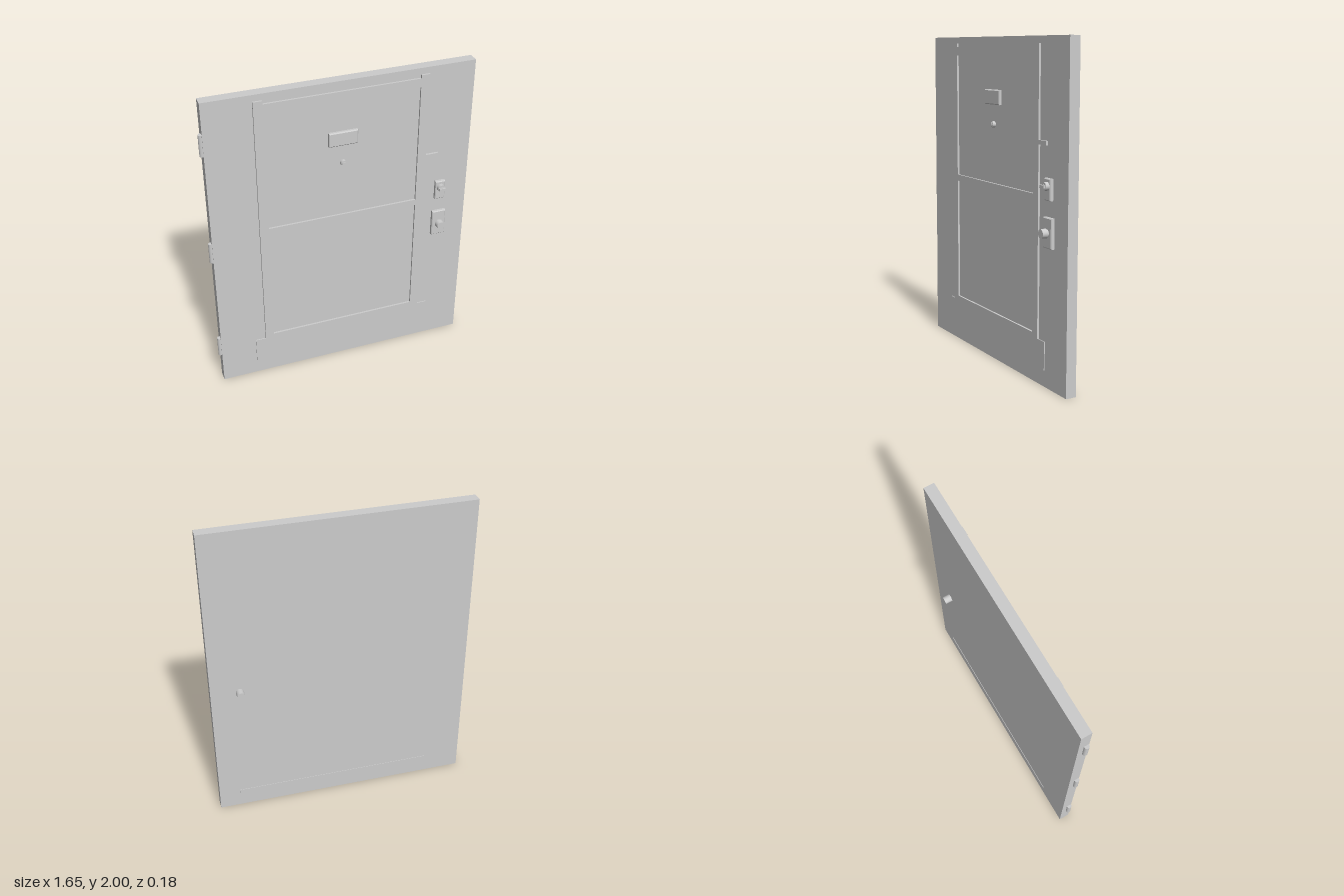
import * as THREE from 'three';

export function createModel() {
  const door = new THREE.Group();
  door.name = 'door';
  const grey = new THREE.MeshStandardMaterial({ color: 0xcccccc });
  grey.name = 'painted grey';

  const add = (name, geometry, x = 0, y = 0, z = 0) => {
    const mesh = new THREE.Mesh(geometry, grey);
    mesh.name = name;
    mesh.position.set(x, y, z);
    door.add(mesh);
    return mesh;
  };
  // Box given by its limits on each axis
  const block = (name, x0, x1, y0, y1, z0, z1) =>
    add(name, new THREE.BoxGeometry(x1 - x0, y1 - y0, z1 - z0), (x0 + x1) / 2, (y0 + y1) / 2, (z0 + z1) / 2);
  // Cylinder along z between two depths
  const rod = (name, x, y, z0, z1, rBack, rFront = rBack) =>
    add(name, new THREE.CylinderGeometry(rFront, rBack, z1 - z0, 24).rotateX(Math.PI / 2), x, y, (z0 + z1) / 2);
  // Plate with a chamfered front edge
  const plate = (name, x0, x1, y0, y1, z0, z1, chamfer) => {
    const c = chamfer;
    const shape = new THREE.Shape([
      new THREE.Vector2(x0 + c, y0 + c), new THREE.Vector2(x1 - c, y0 + c),
      new THREE.Vector2(x1 - c, y1 - c), new THREE.Vector2(x0 + c, y1 - c),
    ]);
    return add(name, new THREE.ExtrudeGeometry(shape, {
      depth: z1 - z0 - c, bevelEnabled: true, bevelSegments: 1, bevelSize: c, bevelThickness: c,
    }), 0, 0, z0);
  };

  // Door leaf
  block('slab', -0.81, 0.825, 0, 2, -0.041, 0.025);

  // Raised moulding around two sunken panels, with ears at the top corners
  const outline = [
    [-0.52, 0.27], [0.535, 0.27], [0.535, 1.96], [0.48, 1.96], [0.48, 1.94],
    [-0.465, 1.94], [-0.465, 1.96], [-0.52, 1.96],
  ];
  const frame = new THREE.Shape(outline.map(([x, y]) => new THREE.Vector2(x, y)));
  for (const [y0, y1] of [[0.3, 1.075], [1.115, 1.885]]) {
    frame.holes.push(new THREE.Path([
      new THREE.Vector2(-0.465, y0), new THREE.Vector2(-0.465, y1),
      new THREE.Vector2(0.48, y1), new THREE.Vector2(0.48, y0),
    ]));
  }
  add('panelMoulding', new THREE.ExtrudeGeometry(frame, { depth: 0.015, bevelEnabled: false }), 0, 0, 0.022);

  // Kick plate and bottom strips
  block('kickPlate', -0.585, 0.6, 0.1, 0.27, 0.022, 0.031);
  block('backBottomStrip', -0.58, 0.69, 0.087, 0.125, -0.044, -0.038);

  // Name plate and peephole
  plate('namePlate', -0.085, 0.095, 1.595, 1.685, 0.022, 0.044, 0.006);
  rod('peepholeRim', 0.007, 1.475, 0.022, 0.046, 0.019);
  rod('peepholeLens', 0.007, 1.475, 0.04, 0.052, 0.013);

  // Chain catch
  block('chainCatch', 0.535, 0.615, 1.4, 1.425, 0.022, 0.039);

  // Upper lock with thumb turn
  plate('lockPlate', 0.61, 0.675, 1.095, 1.22, 0.022, 0.046, 0.005);
  rod('lockCylinder', 0.643, 1.177, 0.04, 0.069, 0.025);
  rod('thumbTurnStem', 0.643, 1.177, 0.065, 0.074, 0.012);
  block('thumbTurn', 0.621, 0.665, 1.169, 1.185, 0.07, 0.083);

  // Knobs on both sides
  plate('knobPlate', 0.6, 0.69, 0.825, 1.0, 0.022, 0.046, 0.005);
  rod('frontKnobNeck', 0.645, 0.912, 0.04, 0.056, 0.022);
  rod('frontKnob', 0.645, 0.912, 0.054, 0.088, 0.028, 0.026);
  rod('backKnob', 0.645, 0.912, -0.088, -0.038, 0.025);

  // Hinges: rounded barrels on the left edge of the front
  for (const y of [0.275, 1.005, 1.735]) {
    const hinge = add('hinge', new THREE.CylinderGeometry(0.016, 0.016, 0.135, 12), -0.814, y, 0.007);
    hinge.scale.z = 0.95;
  }
  return door;
}
